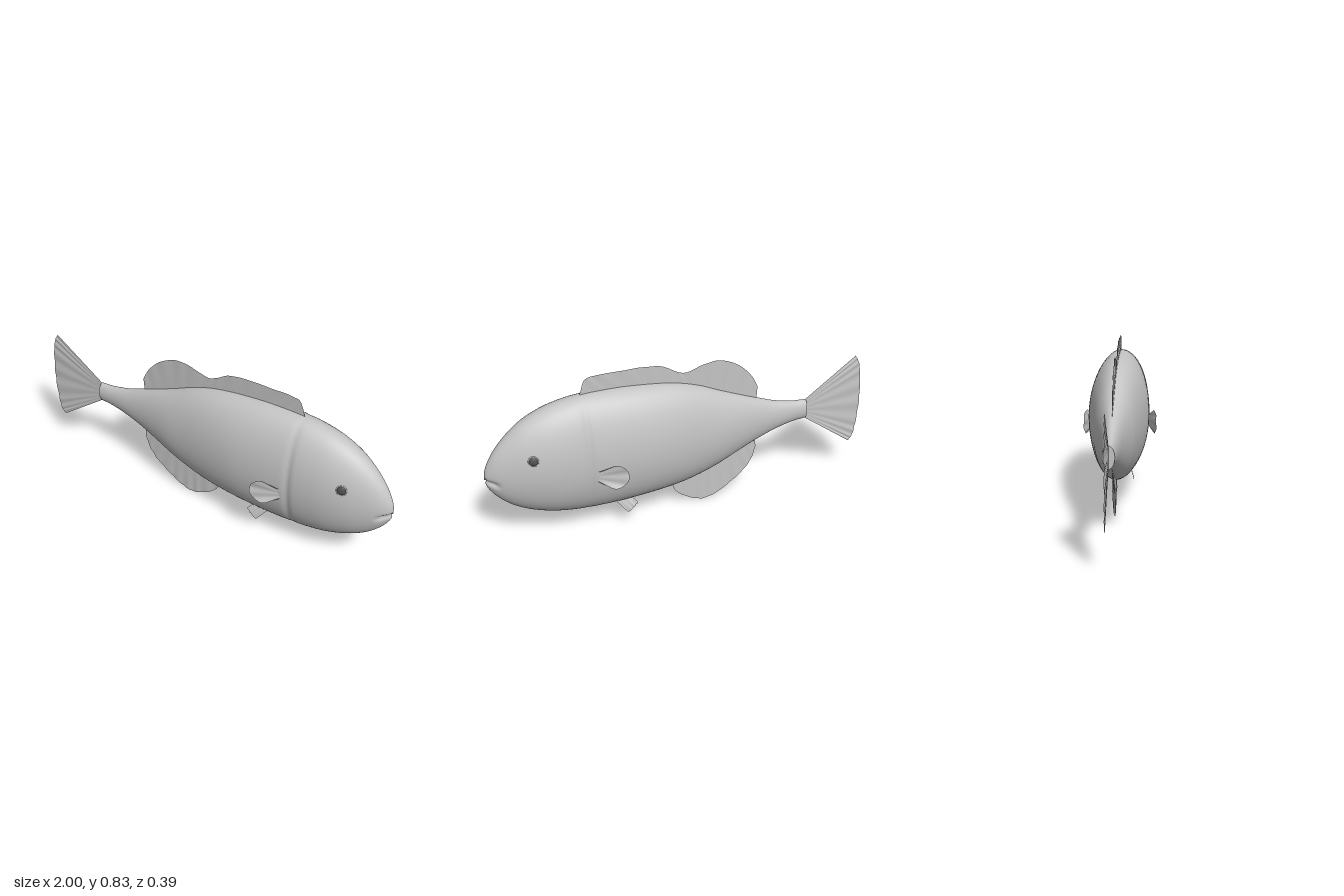
import * as THREE from 'three';

const skin = new THREE.MeshStandardMaterial({ name: 'greySkin', color: 0xc4c4c4 });
const finSkin = new THREE.MeshStandardMaterial({ name: 'greyFin', color: 0xc4c4c4, side: THREE.DoubleSide });
const eyeDark = new THREE.MeshStandardMaterial({ name: 'darkEye', color: 0x505050 });

// Body stations: x, top, bottom, half width
const STATIONS = [
  [-0.68, 0.483, 0.378, 0.028], [-0.6, 0.49, 0.37, 0.032], [-0.5, 0.513, 0.345, 0.042],
  [-0.4, 0.55, 0.308, 0.056], [-0.3, 0.59, 0.265, 0.077], [-0.2, 0.632, 0.22, 0.099],
  [-0.1, 0.677, 0.182, 0.115], [0, 0.71, 0.156, 0.131], [0.1, 0.73, 0.141, 0.145],
  [0.2, 0.742, 0.132, 0.155], [0.3, 0.75, 0.125, 0.157], [0.4, 0.752, 0.121, 0.155],
  [0.5, 0.749, 0.121, 0.15], [0.6, 0.736, 0.129, 0.146], [0.7, 0.71, 0.147, 0.136],
  [0.8, 0.663, 0.18, 0.113], [0.88, 0.6, 0.223, 0.084], [0.94, 0.533, 0.275, 0.057],
  [0.975, 0.477, 0.32, 0.034], [0.993, 0.435, 0.355, 0.017], [1, 0.396, 0.39, 0.001],
];

const v3 = (p) => new THREE.Vector3(p[0], p[1], p[2] ?? 0);

// Triangle grid from a point function; wrap joins the last column to the first
function gridGeometry(rows, cols, wrap, point) {
  const pos = [], index = [];
  const n = wrap ? cols : cols + 1;
  for (let i = 0; i <= rows; i++) {
    for (let j = 0; j < n; j++) pos.push(...point(i / rows, j / cols));
  }
  for (let i = 0; i < rows; i++) {
    for (let j = 0; j < cols; j++) {
      const k = (j + 1) % n;
      const a = i * n + j, b = (i + 1) * n + j, c = i * n + k, d = (i + 1) * n + k;
      index.push(a, c, b, b, c, d);
    }
  }
  const g = new THREE.BufferGeometry();
  g.setAttribute('position', new THREE.Float32BufferAttribute(pos, 3));
  g.setIndex(index);
  g.computeVertexNormals();
  return g;
}

// Elliptical loft with a gill groove and a pinched mouth line
function bodyGeometry() {
  const outline = new THREE.CatmullRomCurve3(STATIONS.map((s) => v3(s)), false, 'catmullrom');
  const widths = new THREE.CatmullRomCurve3(STATIONS.map((s) => v3([s[0], s[3]])), false, 'catmullrom');
  return gridGeometry(240, 64, true, (u, v) => {
    const o = outline.getPoint(u);
    const angle = v * Math.PI * 2;
    const y = (o.y + o.z) / 2 + ((o.y - o.z) / 2) * Math.cos(angle);
    const groove = 1 - 0.05 * Math.exp(-(((o.x - 0.515) / 0.018) ** 2));
    const mouth = THREE.MathUtils.smoothstep(o.x, 0.92, 0.97)
      * Math.exp(-(((y - 0.365 - 0.3 * (o.x - 0.94)) / 0.012) ** 2));
    const z = widths.getPoint(u).y * groove * Math.sin(angle) * (1 - 0.28 * mouth);
    return [o.x - 0.008 * mouth * (o.x < 0.999 ? 1 : 0), y, z];
  });
}

// Fin stretched between a root curve and a tip curve, rippled along its rays
function finGeometry(root, tip, rays, ripple) {
  const a = new THREE.CatmullRomCurve3(root.map(v3));
  const b = new THREE.CatmullRomCurve3(tip.map(v3));
  return gridGeometry(rays * 8, 8, false, (u, v) => {
    const p = a.getPoint(u).lerp(b.getPoint(u), v);
    p.z += ripple * v * Math.sin(u * rays * Math.PI * 2);
    return [p.x, p.y, p.z];
  });
}

export function createModel() {
  const fish = new THREE.Group();
  fish.name = 'fish';
  const add = (name, geometry, material) => {
    const mesh = new THREE.Mesh(geometry, material);
    mesh.name = name;
    fish.add(mesh);
    return mesh;
  };

  add('body', bodyGeometry(), skin);

  // Flat end of the tail stalk
  const cap = add('tailStalkEnd', new THREE.CircleGeometry(1, 32).rotateY(-Math.PI / 2), skin);
  cap.scale.set(1, 0.0525, 0.028);
  cap.position.set(-0.68, 0.4305, 0);

  // Fins on the centre line
  add('tailFin', finGeometry(
    [[-0.67, 0.478], [-0.67, 0.43], [-0.67, 0.383]],
    [[-0.955, 0.685], [-0.975, 0.65], [-0.99, 0.58], [-1, 0.43], [-0.99, 0.27], [-0.975, 0.2], [-0.955, 0.175]],
    9, 0.002), finSkin);
  add('dorsalFin', finGeometry(
    [[-0.4, 0.53], [-0.2, 0.61], [0, 0.69], [0.25, 0.73], [0.515, 0.74]],
    [[-0.405, 0.615], [-0.37, 0.68], [-0.3, 0.752], [-0.2, 0.798], [-0.12, 0.793], [-0.015, 0.765],
      [0.03, 0.78], [0.1, 0.82], [0.2, 0.835], [0.32, 0.836], [0.44, 0.835], [0.485, 0.824], [0.513, 0.755]],
    12, 0.001), finSkin);
  add('analFin', finGeometry(
    [[-0.4, 0.33], [-0.25, 0.26], [-0.1, 0.2], [0.06, 0.17]],
    [[-0.407, 0.26], [-0.385, 0.19], [-0.34, 0.128], [-0.26, 0.065], [-0.19, 0.022], [-0.12, 0.004],
      [-0.06, 0.02], [0.03, 0.082], [0.062, 0.15]],
    9, 0.0015), finSkin);

  // Paired fins and eyes
  for (const [side, s] of [['left', 1], ['right', -1]]) {
    const flip = (pts) => pts.map(([x, y, z]) => [x, y, z * s]);
    add(side + 'PectoralFin', finGeometry(
      flip([[0.485, 0.4, 0.143], [0.49, 0.37, 0.143], [0.485, 0.342, 0.143]]),
      flip([[0.475, 0.405, 0.158], [0.4, 0.436, 0.183], [0.356, 0.412, 0.191], [0.342, 0.37, 0.193],
        [0.358, 0.325, 0.19], [0.41, 0.306, 0.182], [0.475, 0.34, 0.158]]),
      4, 0.0025 * s), finSkin);
    add(side + 'PelvicFin', finGeometry(
      flip([[0.295, 0.155, 0.055], [0.335, 0.155, 0.056], [0.375, 0.148, 0.055]]),
      flip([[0.262, 0.12, 0.07], [0.285, 0.1, 0.075], [0.317, 0.075, 0.077]]),
      3, 0.0015 * s), finSkin);

    const eye = add(side + 'Eye', new THREE.SphereGeometry(0.023, 24, 16), eyeDark);
    eye.scale.z = 0.4;
    eye.position.set(0.78, 0.505, 0.11 * s);
    eye.rotation.set(-0.17 * s, 0.27 * s, 0);

    const rim = add(side + 'EyeRim', new THREE.TorusGeometry(0.023, 0.004, 8, 24), skin);
    rim.position.copy(eye.position);
    rim.rotation.copy(eye.rotation);
  }
  return fish;
}
